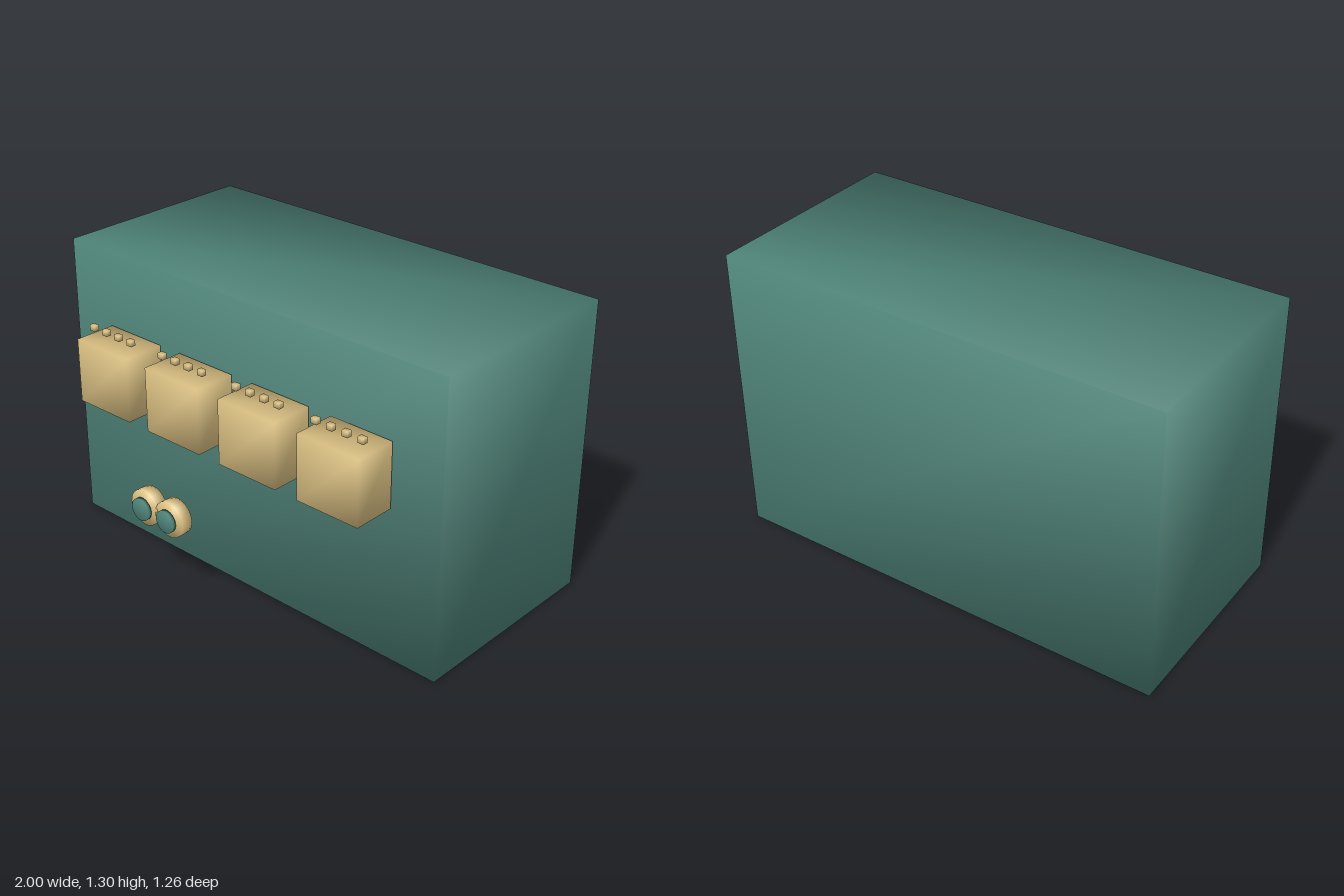
import * as THREE from 'three';
import { mergeVertices } from 'three/addons/utils/BufferGeometryUtils.js';

// Weld the corners so that normals run smoothly over every edge
function smooth(geometry) {
  geometry.deleteAttribute('normal');
  geometry.deleteAttribute('uv');
  const welded = mergeVertices(geometry, 1e-4);
  welded.computeVertexNormals();
  return welded;
}

export function createModel() {
  const model = new THREE.Group();
  model.name = 'cabinet';

  const teal = new THREE.MeshStandardMaterial({ color: 0x4f857a });
  teal.name = 'teal';
  const gold = new THREE.MeshStandardMaterial({ color: 0xdec384 });
  gold.name = 'gold';

  function add(parent, name, geometry, material, x, y, z) {
    const mesh = new THREE.Mesh(geometry, material);
    mesh.name = name;
    mesh.position.set(x, y, z);
    parent.add(mesh);
  }
  const box = (w, h, d) => smooth(new THREE.BoxGeometry(w, h, d));
  const disc = (r, d) => smooth(new THREE.CylinderGeometry(r, r, d, 32).rotateX(Math.PI / 2));

  // Large body block
  add(model, 'body', box(2, 1.3, 0.94), teal, 0, 0.65, -0.16);

  // Row of four blocks, each with four small pegs floating above
  const blockGeometry = box(0.3, 0.285, 0.19);
  const pegGeometry = box(0.028, 0.025, 0.023);
  for (let i = 0; i < 4; i++) {
    const unit = new THREE.Group();
    unit.name = 'blockUnit' + (i + 1);
    unit.position.x = (i - 1.5) * 0.412;
    model.add(unit);
    add(unit, 'block', blockGeometry, gold, 0, 0.8275, 0.415);
    for (let j = 0; j < 4; j++) {
      add(unit, 'peg', pegGeometry, gold, (j - 1.5) * 0.075, 1.0135, 0.447);
    }
  }

  // Pair of round dials with smaller discs in front
  const dialGeometry = disc(0.08, 0.053);
  const faceGeometry = disc(0.05, 0.016);
  for (const x of [-0.29, -0.146]) {
    add(model, 'dial', dialGeometry, gold, x, 0.39, 0.579);
    add(model, 'dialFace', faceGeometry, teal, x, 0.39, 0.622);
  }

  return model;
}
